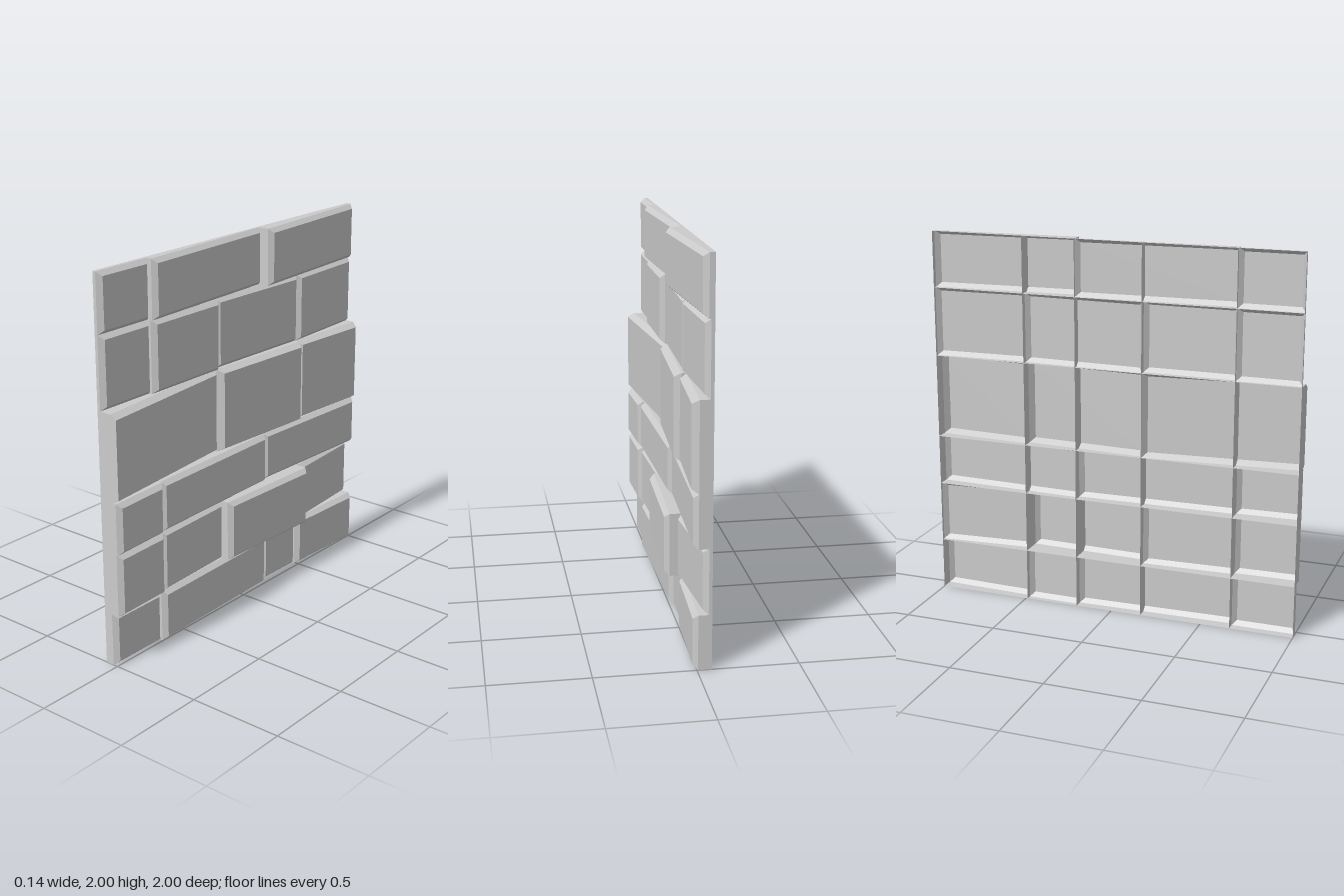
import * as THREE from 'three';

const BACK = -0.072;   // open rear plane
const INSET = 0.022;   // bevel width across the face

const material = new THREE.MeshStandardMaterial({
  color: 0xcccccc, flatShading: true, side: THREE.DoubleSide,
});

// shared grid lines of the panel
const cols = [1, 0.66, 0.165, -0.2, -0.49, -1];

// rows from the bottom up; bricks are [first column, last column, x at +z end, x at -z end]
const rows = [
  { y0: 0, y1: 0.28, bricks: [[0, 1, 0.0, 0.0], [1, 3, 0.02, 0.0], [3, 4, -0.02, -0.015], [4, 5, 0.0, 0.02]] },
  { y0: 0.28, y1: 0.61, bricks: [[0, 1, 0.045, 0.035], [1, 2, 0.02, 0.0], [2, 4, 0.05, 0.072], [4, 5, 0.01, -0.03]] },
  { y0: 0.61, y1: 0.88, bricks: [[0, 1, 0.05, 0.035], [1, 3, 0.025, 0.005], [3, 5, -0.01, 0.02]] },
  { y0: 0.88, y1: 1.33, depth: 0.035, square: true, bricks: [[0, 2, 0.045, -0.03], [2, 4, -0.01, 0.025], [4, 5, 0.0, 0.03]] },
  { y0: 1.33, y1: 1.7, bricks: [[0, 1, -0.03, -0.03], [1, 2, -0.012, -0.012], [2, 4, -0.035, -0.015], [4, 5, -0.01, -0.03]] },
  { y0: 1.7, y1: 2, bricks: [[0, 1, -0.03, -0.03], [1, 3, 0.0, -0.035], [3, 5, 0.025, -0.02]] },
];

// four corners seen from the front of the wall, counter-clockwise
function ring(zA, zB, y0, y1, xAt) {
  return [[zA, y0], [zB, y0], [zB, y1], [zA, y1]].map(([z, y]) => [xAt(z), y, z]);
}

function quadGeometry(quads) {
  const pos = [];
  for (const [a, b, c, d] of quads) pos.push(...a, ...b, ...c, ...a, ...c, ...d);
  const g = new THREE.BufferGeometry();
  g.setAttribute('position', new THREE.Float32BufferAttribute(pos, 3));
  g.computeVertexNormals();
  return g;
}

// hollow brick: straight sides, bevel and tilted face, open at the rear
function brick(zA, zB, y0, y1, xA, xB, depth, squareEnd) {
  const face = (z) => THREE.MathUtils.mapLinear(z, zA, zB, xA, xB);
  const endA = squareEnd ? zA : zA - INSET;
  const rings = [
    ring(zA, zB, y0, y1, () => BACK),
    ring(zA, zB, y0, y1, (z) => Math.max(face(z) - depth, BACK + 0.006)),
    ring(endA, zB + INSET, y0 + INSET, y1 - INSET, face),
  ];
  const quads = [rings[2]];
  for (let r = 0; r < 2; r++) {
    for (let i = 0; i < 4; i++) {
      const j = (i + 1) % 4;
      quads.push([rings[r][i], rings[r][j], rings[r + 1][j], rings[r + 1][i]]);
    }
  }
  return quadGeometry(quads);
}

// rib dividing the hollow of a long brick into cells
function rib(z, y0, y1, x, depth) {
  const s = Math.max(x - depth, BACK + 0.006);
  return quadGeometry([
    [[BACK, y0, z], [BACK, y1, z], [s, y1, z], [s, y0, z]],
    [[s, y0, z], [s, y1, z], [x, y1 - INSET, z], [x, y0 + INSET, z]],
  ]);
}

export function createModel() {
  const model = new THREE.Group();
  model.name = 'brickWallPanel';
  const add = (parent, geometry, name) => {
    const mesh = new THREE.Mesh(geometry, material);
    mesh.name = name;
    parent.add(mesh);
  };

  rows.forEach(({ y0, y1, depth = 0.025, square, bricks }, r) => {
    const course = new THREE.Group();
    course.name = `course${r + 1}`;
    for (const [a, b, xA, xB] of bricks) {
      add(course, brick(cols[a], cols[b], y0, y1, xA, xB, depth, square && a === 0), 'brick');
      for (let c = a + 1; c < b; c++) {
        const x = THREE.MathUtils.mapLinear(cols[c], cols[a], cols[b], xA, xB);
        add(course, rib(cols[c], y0, y1, x, depth), 'rearRib');
      }
    }
    model.add(course);
  });
  return model;
}
